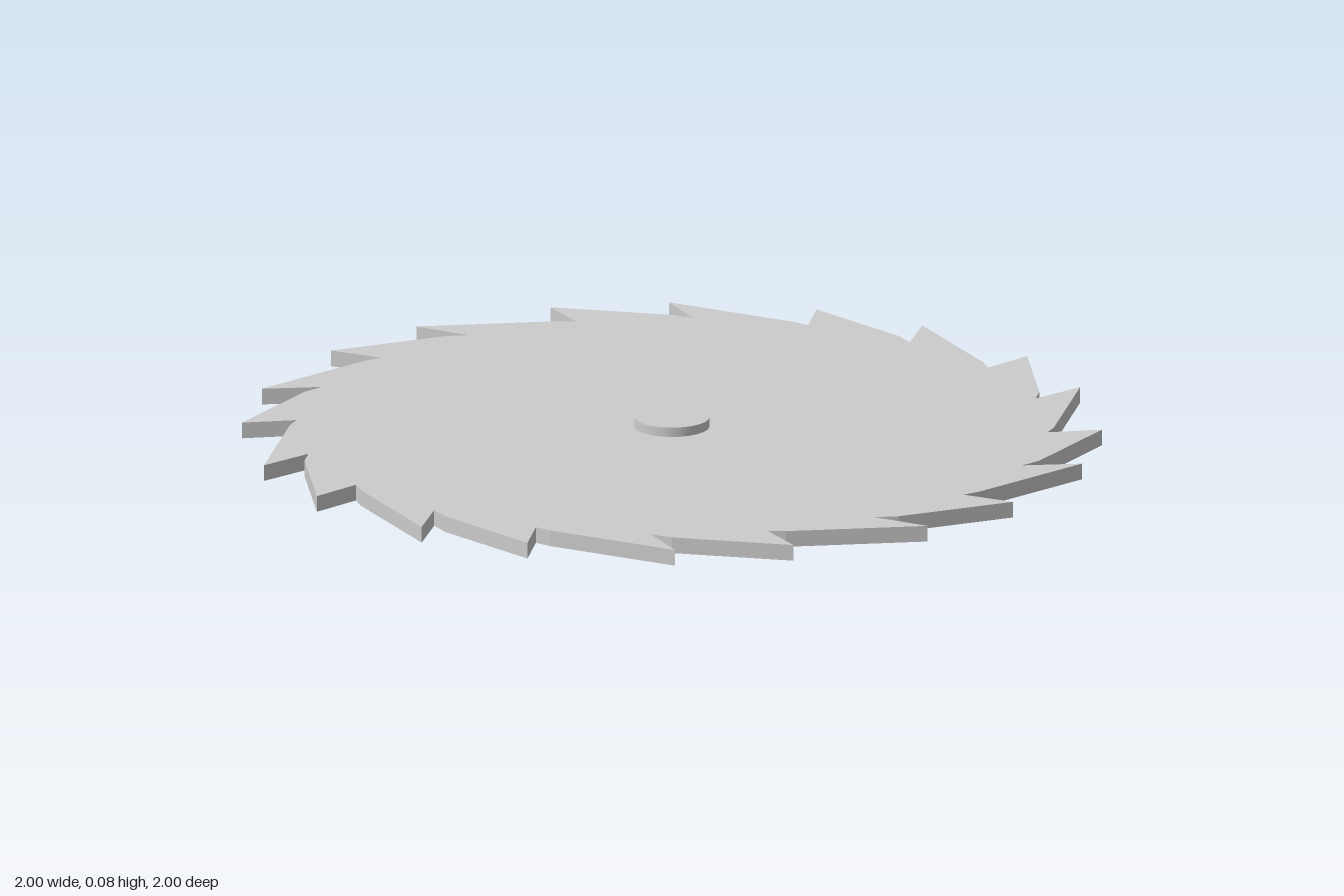
import * as THREE from 'three';

const TEETH = 20;
const HUB_HEIGHT = 0.083;
const BLADE_THICKNESS = 0.038;

// Alternating tooth profiles: [clockwise degrees from the gullet, radius]
const PROFILES = [
  { shoulder: [-3.2, 0.898], tip: [-3.65, 1.0] },
  { shoulder: [-2.6, 0.888], tip: [-1.6, 1.0] },
];

function polar(degrees, radius) {
  const a = THREE.MathUtils.degToRad(degrees);
  return new THREE.Vector2(Math.sin(a) * radius, Math.cos(a) * radius);
}

export function createModel() {
  const group = new THREE.Group();
  const material = new THREE.MeshStandardMaterial({ color: 0xcccccc });

  // Toothed blade: each tooth is shoulder, gullet, then a hooked tip
  const outline = [];
  for (let i = 0; i < TEETH; i++) {
    const angle = (i * 360) / TEETH;
    const { shoulder, tip } = PROFILES[i % 2];
    outline.push(
      polar(angle + shoulder[0], shoulder[1]),
      polar(angle, 0.874),
      polar(angle + tip[0], tip[1]),
    );
  }
  const bladeGeometry = new THREE.ExtrudeGeometry(new THREE.Shape(outline), {
    depth: BLADE_THICKNESS,
    bevelEnabled: false,
  });
  bladeGeometry.rotateX(-Math.PI / 2);
  const blade = new THREE.Mesh(bladeGeometry, material);
  blade.name = 'blade';
  blade.position.y = (HUB_HEIGHT - BLADE_THICKNESS) / 2;
  group.add(blade);

  // Round hub standing proud of both faces
  const hub = new THREE.Mesh(new THREE.CylinderGeometry(0.087, 0.087, HUB_HEIGHT, 48), material);
  hub.name = 'hub';
  hub.position.y = HUB_HEIGHT / 2;
  group.add(hub);

  return group;
}
